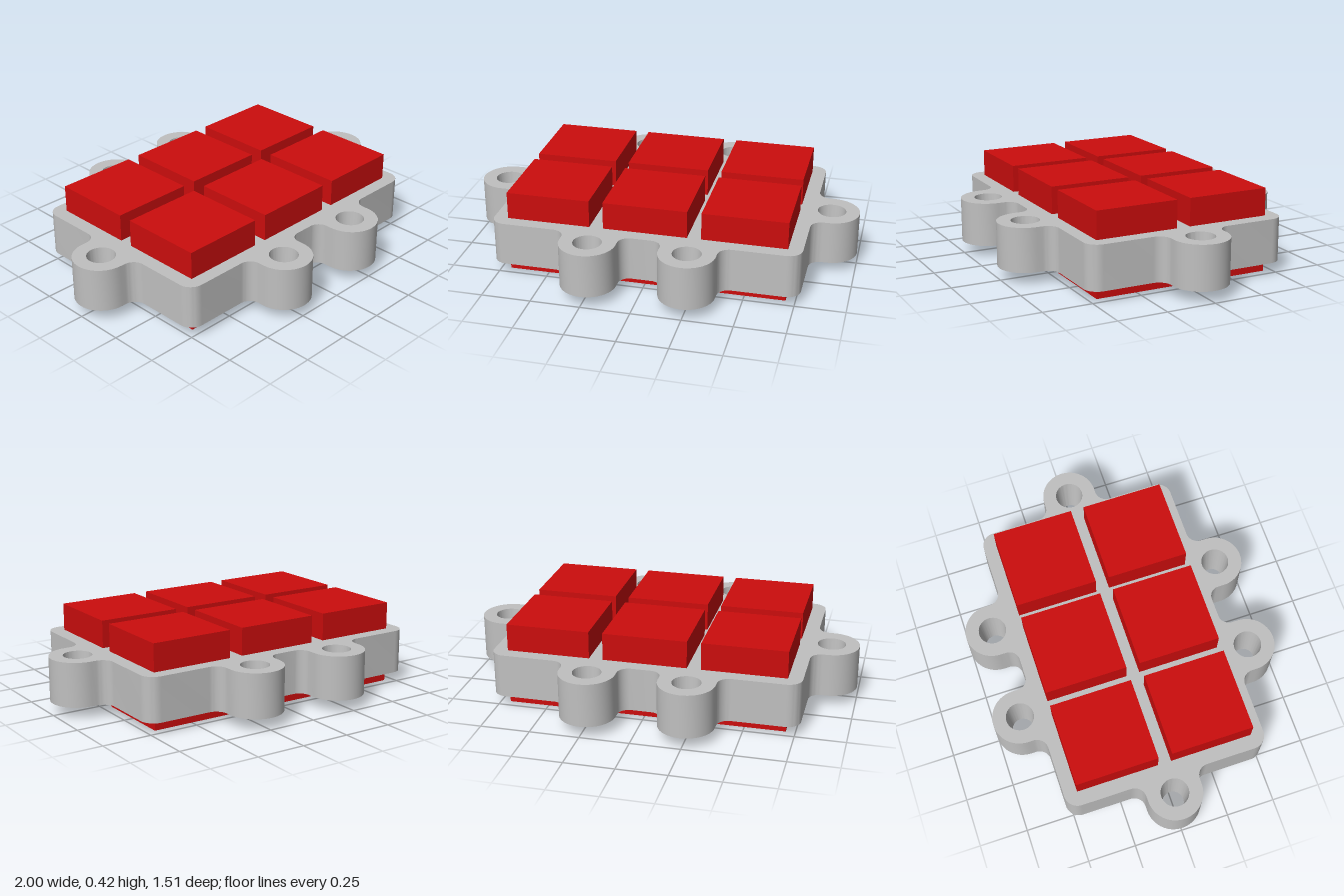
import * as THREE from 'three';
import { toCreasedNormals } from 'three/addons/utils/BufferGeometryUtils.js';

const BASE = 0.06, THICK = 0.223;
const HOLE_TOP = 0.071, HOLE_BOTTOM = 0.055;
const HOLES = [[0.86, 0], [-0.86, 0], [0.245, 0.613], [-0.245, 0.613], [0.245, -0.613], [-0.245, -0.613]];

// One quadrant of the plate outline: right-angled corners as x, y, radius
const QUADRANT = [
  [1, 0.14, 0.14], [0.775, 0.14, 0.06], [0.775, 0.525, 0.07], [0.385, 0.525, 0.06],
  [0.385, 0.753, 0.14], [0.105, 0.753, 0.14], [0.105, 0.525, 0.055],
];

// Closed outline with every corner rounded by its own radius
function roundedOutline(corners, steps = 12) {
  const points = [];
  corners.forEach(([x, y, r], i) => {
    const n = corners.length;
    const p = new THREE.Vector2(x, y);
    const a = new THREE.Vector2(...corners[(i + n - 1) % n].slice(0, 2)).sub(p).normalize();
    const b = new THREE.Vector2(...corners[(i + 1) % n].slice(0, 2)).sub(p).normalize();
    for (let k = 0; k <= steps; k++) {
      const t = (k / steps) * Math.PI / 2;
      points.push(p.clone().addScaledVector(a, r * (1 - Math.sin(t))).addScaledVector(b, r * (1 - Math.cos(t))));
    }
  });
  // drop coincident points where two arcs meet
  return points.filter((p, i) => p.distanceTo(points[(i + 1) % points.length]) > 1e-5);
}

function plateGeometry() {
  const half = [...QUADRANT, ...QUADRANT.map(([x, y, r]) => [-x, y, r]).reverse()];
  const corners = [...half, ...half.map(([x, y, r]) => [-x, -y, r])];
  const shape = new THREE.Shape(roundedOutline(corners));
  for (const [x, y] of HOLES) {
    shape.holes.push(new THREE.Path().absarc(x, y, HOLE_TOP, 0, Math.PI * 2, true));
  }
  const geometry = new THREE.ExtrudeGeometry(shape, { depth: THICK, bevelEnabled: false, curveSegments: 32 });

  // Taper the bolt holes towards the underside
  const pos = geometry.attributes.position;
  const k = HOLE_BOTTOM / HOLE_TOP;
  for (let i = 0; i < pos.count; i++) {
    if (pos.getZ(i) > THICK / 2) continue;
    const x = pos.getX(i), y = pos.getY(i);
    const hole = HOLES.find(([hx, hy]) => Math.hypot(x - hx, y - hy) < HOLE_TOP + 0.01);
    if (hole) pos.setXY(i, hole[0] + (x - hole[0]) * k, hole[1] + (y - hole[1]) * k);
  }
  geometry.rotateX(-Math.PI / 2);
  return toCreasedNormals(geometry, 0.6);
}

export function createModel() {
  const grey = new THREE.MeshStandardMaterial({ color: 0xc0c0c0 });
  grey.name = 'light grey';
  const red = new THREE.MeshStandardMaterial({ color: 0xcc0d0d });
  red.name = 'red';

  const model = new THREE.Group();
  model.name = 'blockHolder';

  // Mounting plate with six bolt lugs
  const plate = new THREE.Mesh(plateGeometry(), grey);
  plate.name = 'mountingPlate';
  plate.position.y = BASE;
  model.add(plate);

  // Two rows of three blocks passing through the plate
  const blocks = new THREE.Group();
  blocks.name = 'blocks';
  const blockGeometry = new THREE.BoxGeometry(0.422, 0.422, 0.422);
  for (const z of [-0.246, 0.246]) {
    for (const x of [-0.492, 0, 0.492]) {
      const block = new THREE.Mesh(blockGeometry, red);
      block.name = 'block';
      block.position.set(x, 0.211, z);
      blocks.add(block);
    }
  }
  model.add(blocks);
  return model;
}
